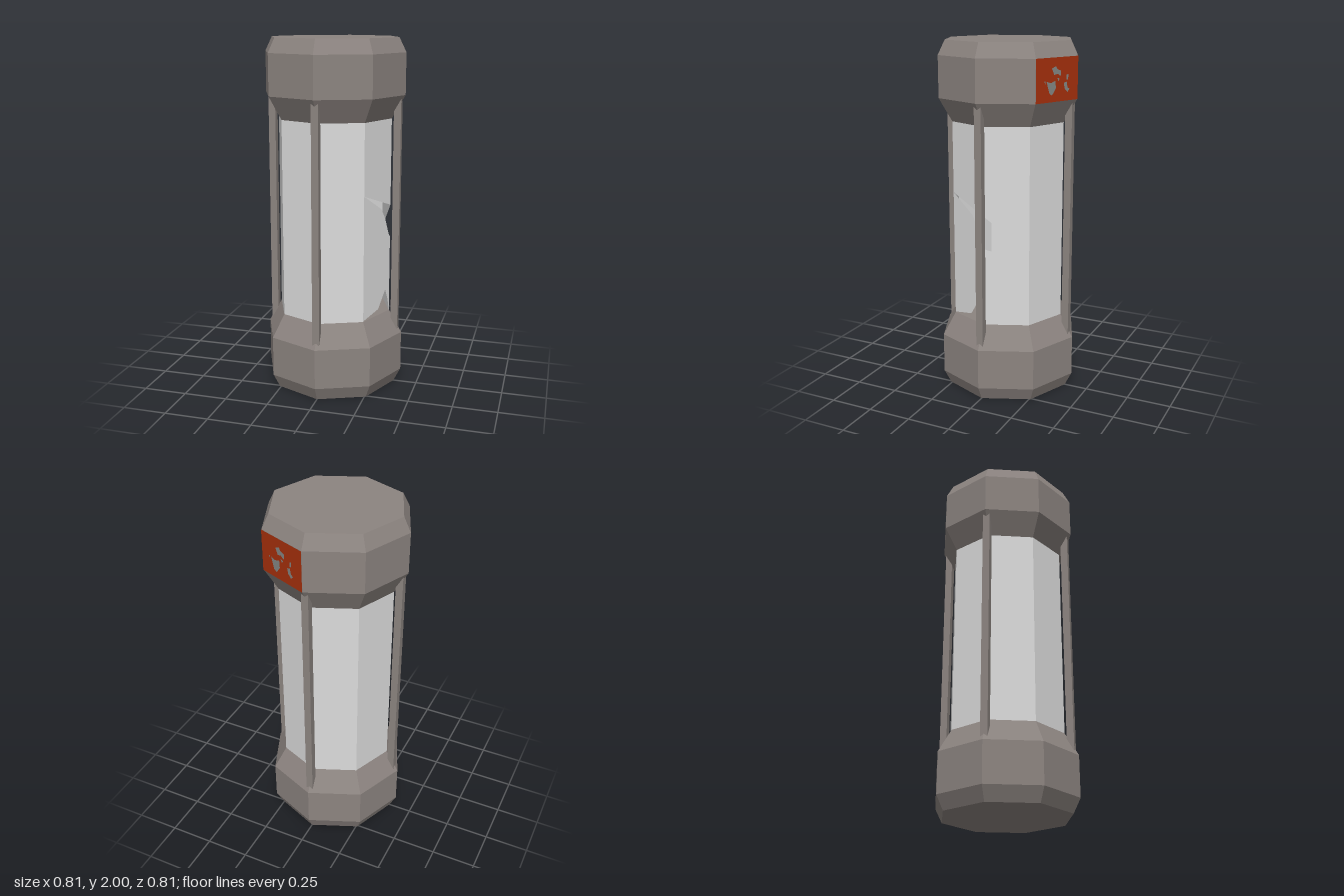
import * as THREE from 'three';

const STEP = Math.PI / 4;
const BOTTOM = 0.44, TOP = 1.565;

const metal = new THREE.MeshStandardMaterial({ name: 'warm grey metal', color: 0x8c8480, flatShading: true });
const glass = new THREE.MeshStandardMaterial({ name: 'pale grey glass', color: 0xdcdcdc, side: THREE.DoubleSide });
const red = new THREE.MeshStandardMaterial({ name: 'rust red label', color: 0xa8300c });
const worn = new THREE.MeshStandardMaterial({ name: 'worn grey marks', color: 0x858885 });

function add(parent, name, geometry, material) {
  const mesh = new THREE.Mesh(geometry, material);
  mesh.name = name;
  parent.add(mesh);
  return mesh;
}

// Flat polygons on side i of an octagon; u runs 0..1 across the side, y is height
function sidePanel(polygons, i, radius, offset = 0) {
  const width = 2 * radius * Math.sin(STEP / 2);
  const shapes = polygons.map(points => new THREE.Shape(
    points.map(([u, y]) => new THREE.Vector2((u - 0.5) * width, y))));
  return new THREE.ShapeGeometry(shapes)
    .translate(0, 0, radius * Math.cos(STEP / 2) + offset)
    .rotateY((i + 0.5) * STEP);
}

export function createModel() {
  const model = new THREE.Group();
  model.name = 'canister';

  // Octagonal end caps, the upper one turned over
  const profile = [[0, 0], [0.365, 0], [0.405, 0.08], [0.405, 0.31], [0.33, BOTTOM], [0, BOTTOM]]
    .map(([r, y]) => new THREE.Vector2(r, y));
  const capGeometry = new THREE.LatheGeometry(profile, 8);
  add(model, 'bottomCap', capGeometry, metal);
  const topCap = add(model, 'topCap', capGeometry, metal);
  topCap.rotation.x = Math.PI;
  topCap.position.y = 2;

  // Glass tube with a crack across two sides and a chip at the base
  const whole = [[[0, BOTTOM], [1, BOTTOM], [1, TOP], [0, TOP]]];
  const broken = {
    1: [
      [[0, 1.16], [1, 1.07], [1, TOP], [0, TOP]],
      [[0, BOTTOM], [0.03, 0.445], [0.57, 0.475], [0.84, 0.575], [0.94, 0.51], [1, BOTTOM],
        [1, 0.885], [0.95, 0.9], [0.8, 1.0], [0.65, 1.06], [0, 1.16]],
    ],
    2: [
      [[0, 1.07], [1, 0.875], [1, TOP], [0, TOP]],
      [[0, BOTTOM], [1, BOTTOM], [1, 0.805], [0, 0.885]],
    ],
  };
  for (let i = 0; i < 8; i++) {
    add(model, broken[i] ? 'brokenGlass' : 'glassPane', sidePanel(broken[i] || whole, i, 0.33), glass);
  }

  // Four guard rods between the caps
  for (let i = 0; i < 4; i++) {
    const rod = new THREE.BoxGeometry(0.04, 1.36, 0.04)
      .translate(0, 1, 0.365).rotateY(i * Math.PI / 2);
    add(model, 'guardRod', rod, metal);
  }

  // Painted label on one back side of the upper cap
  const label = [[[0, 1.69], [1, 1.69], [1, 1.92], [0, 1.92]]];
  add(model, 'label', sidePanel(label, 3, 0.405, 0.002), red);

  // Worn patches on the label
  const marks = [
    [[0.24, 1.80], [0.34, 1.79], [0.45, 1.80], [0.46, 1.76], [0.37, 1.725], [0.31, 1.735], [0.27, 1.77]],
    [[0.36, 1.865], [0.46, 1.875], [0.49, 1.86], [0.58, 1.85], [0.57, 1.82], [0.5, 1.835], [0.42, 1.83]],
    [[0.65, 1.785], [0.72, 1.79], [0.74, 1.76], [0.79, 1.75], [0.74, 1.735], [0.67, 1.755]],
    [[0.71, 1.825], [0.76, 1.83], [0.75, 1.80], [0.71, 1.80]],
    [[0.49, 1.815], [0.55, 1.81], [0.52, 1.795]],
    [[0.19, 1.80], [0.22, 1.805], [0.21, 1.785]],
  ];
  add(model, 'labelWear', sidePanel(marks, 3, 0.405, 0.004), worn);

  return model;
}
